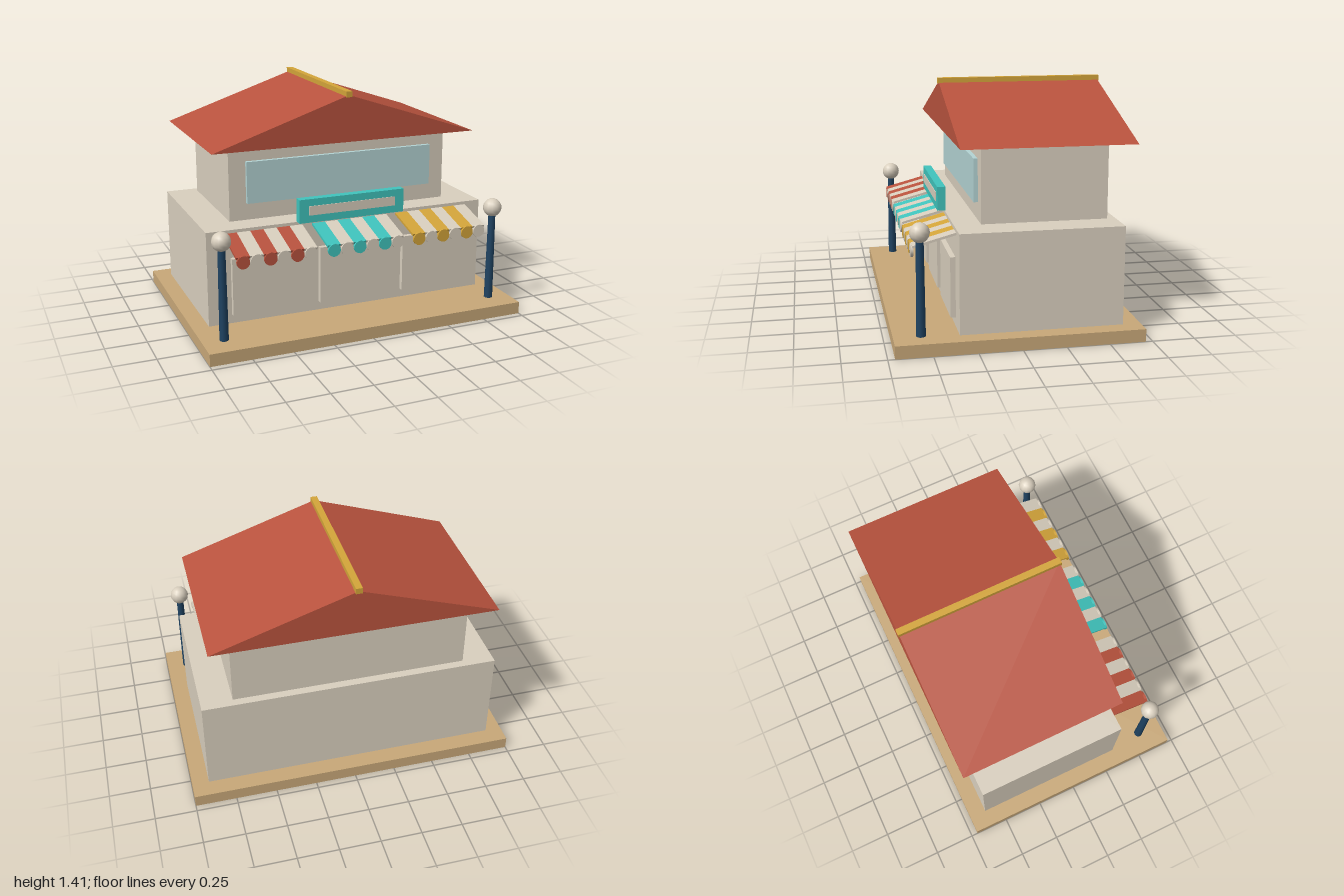
import * as THREE from 'three';

const mat = (name, color, extra = {}) => {
  const m = new THREE.MeshStandardMaterial({ color, ...extra });
  m.name = name;
  return m;
};

export function createModel() {
  const model = new THREE.Group();
  model.name = 'shop';

  const cream = mat('cream', 0xd9cfbe);
  const red = mat('roof red', 0xb9533e);
  const gold = mat('gold', 0xd4a53a);
  const teal = mat('teal', 0x40c4bd);
  const navy = mat('navy', 0x1f4362);
  const wood = mat('tan', 0xc8a878);
  const glass = mat('glass', 0xb4d4d4);

  const add = (parent, name, geometry, material, x = 0, y = 0, z = 0) => {
    const mesh = new THREE.Mesh(geometry, material);
    mesh.name = name;
    mesh.position.set(x, y, z);
    parent.add(mesh);
    return mesh;
  };
  // Box given by its minimum and maximum on each axis
  const box = (parent, name, material, x0, x1, y0, y1, z0, z1) =>
    add(parent, name, new THREE.BoxGeometry(x1 - x0, y1 - y0, z1 - z0), material,
      (x0 + x1) / 2, (y0 + y1) / 2, (z0 + z1) / 2);

  // Base and the two storeys
  box(model, 'base', wood, -1, 1, 0, 0.075, -0.71, 0.71);
  box(model, 'groundFloor', cream, -0.9, 0.9, 0.075, 0.655, -0.605, 0.34);
  box(model, 'upperFloor', cream, -0.71, 0.71, 0.655, 1.11, -0.555, 0.185);
  box(model, 'upperWindow', glass, -0.605, 0.605, 0.76, 1.015, 0.18, 0.21);

  // Gabled roof and its ridge
  const gable = new THREE.Shape();
  gable.moveTo(-0.845, 1.108);
  gable.lineTo(0.845, 1.108);
  gable.lineTo(0, 1.39);
  gable.closePath();
  add(model, 'roof', new THREE.ExtrudeGeometry(gable, { depth: 1.01, bevelEnabled: false }),
    red, 0, 0, -0.688);
  box(model, 'roofRidge', gold, -0.02, 0.02, 1.378, 1.413, -0.695, 0.327);

  // Sign board with a pale inset panel
  box(model, 'signBoard', teal, -0.34, 0.34, 0.655, 0.8, 0.333, 0.383);
  box(model, 'signPanel', cream, -0.28, 0.28, 0.7, 0.757, 0.33, 0.387);

  // Three shop fronts, each with a striped awning
  const zBack = 0.34, yBack = 0.63, zFront = 0.585, yFront = 0.565;
  const slope = Math.atan2(yBack - yFront, zFront - zBack);
  const length = Math.hypot(yBack - yFront, zFront - zBack);
  const stripeWidth = 0.0815;
  const stripeGeo = new THREE.BoxGeometry(stripeWidth, 0.014, length);
  const scallopGeo = new THREE.CylinderGeometry(0.039, 0.039, 0.015, 16).rotateX(Math.PI / 2);
  [red, teal, gold].forEach((color, i) => {
    const cx = (i - 1) * 0.552;
    box(model, 'shopPanel', cream, cx - 0.204, cx + 0.204, 0.13, 0.485, 0.335, 0.37);

    const awning = new THREE.Group();
    awning.name = 'awning';
    awning.position.x = cx;
    model.add(awning);
    for (let s = 0; s < 6; s++) {
      const x = (s - 2.5) * stripeWidth;
      const material = s % 2 ? cream : color;
      const stripe = add(awning, 'awningStripe', stripeGeo, material,
        x, (yBack + yFront) / 2, (zBack + zFront) / 2);
      stripe.rotation.x = slope;
      add(awning, 'awningScallop', scallopGeo, material, x, 0.54, 0.587);
    }
  });

  // Street lamps
  for (const side of [-1, 1]) {
    const lamp = new THREE.Group();
    lamp.name = side > 0 ? 'leftLamp' : 'rightLamp';
    lamp.position.set(side * 0.87, 0, 0.553);
    model.add(lamp);
    add(lamp, 'lampPost', new THREE.CylinderGeometry(0.022, 0.027, 0.56, 10), navy, 0, 0.355, 0);
    add(lamp, 'lampGlobe', new THREE.SphereGeometry(0.057, 12, 10), cream, 0, 0.667, 0);
  }

  return model;
}
